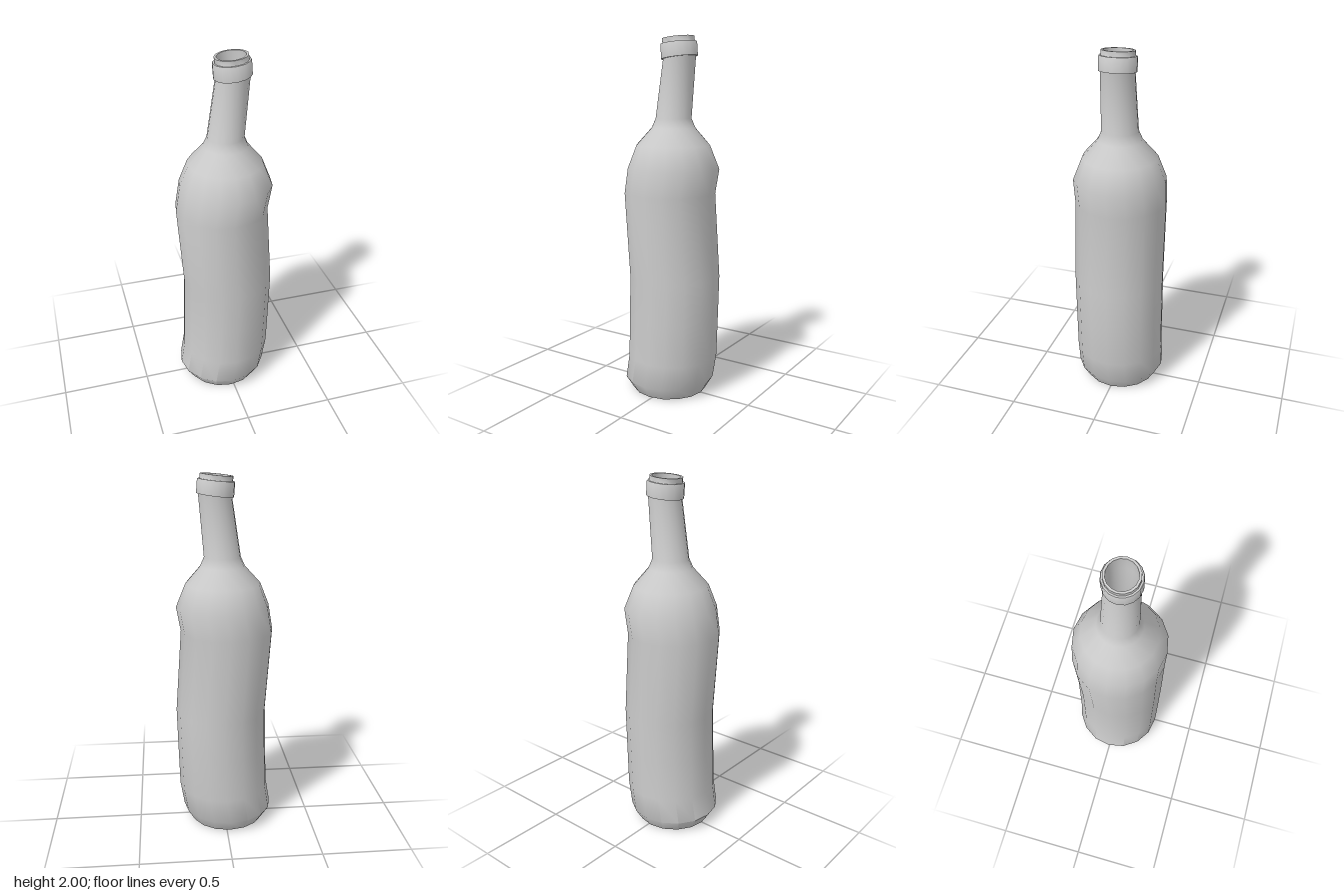
import * as THREE from 'three';
import { toCreasedNormals } from 'three/addons/utils/BufferGeometryUtils.js';

const SIDES = 16;

// Wavy centre line: height, sideways offset, slope of the cross-section
const spine = [
  [0, -0.018, 0], [0.07, -0.02, 0], [0.21, 0.003, 0], [0.45, 0.01, 0],
  [0.68, 0.016, 0], [1.15, -0.017, 0], [1.29, 0.007, -0.015], [1.415, 0.005, 0],
  [1.51, 0.007, 0], [1.56, 0.007, 0.01], [1.885, 0.045, 0.12],
  [1.963, 0.039, 0.1], [1.99, 0.036, 0.1],
];

// Lathe a profile, then shift and tilt every ring to follow the centre line
function wavyLathe(name, profile, material) {
  const geo = new THREE.LatheGeometry(profile.map(([r, y]) => new THREE.Vector2(r, y)), SIDES);
  const pos = geo.attributes.position;
  for (let i = 0; i < pos.count; i++) {
    const x = pos.getX(i), y = pos.getY(i);
    let k = 1;
    while (k < spine.length - 1 && spine[k][0] < y) k++;
    const a = spine[k - 1], b = spine[k];
    const t = (y - a[0]) / (b[0] - a[0]);
    pos.setX(i, x + THREE.MathUtils.lerp(a[1], b[1], t));
    pos.setY(i, y + x * THREE.MathUtils.lerp(a[2], b[2], t));
  }
  const mesh = new THREE.Mesh(toCreasedNormals(geo, 0.7), material);
  mesh.name = name;
  return mesh;
}

export function createModel() {
  const group = new THREE.Group();
  group.name = 'wavyBottle';
  const glass = new THREE.MeshStandardMaterial({ color: 0xcccccc });

  // Base, body, shoulder and neck: radius, height
  const body = [
    [0.213, 0], [0.256, 0.07], [0.256, 0.21], [0.256, 0.45], [0.256, 0.68],
    [0.256, 1.15], [0.256, 1.29], [0.206, 1.415], [0.122, 1.51], [0.1, 1.56], [0.09, 1.885],
  ];
  group.add(wavyLathe('body', [[0, 0], ...body], glass));

  // Raised collar and open lip
  group.add(wavyLathe('collarAndLip', [
    [0.088, 1.885], [0.1, 1.885], [0.1, 1.958], [0.097, 1.963],
    [0.088, 1.963], [0.088, 1.99], [0.076, 1.99],
  ], glass));

  // Hollow interior, running from the lip down to the floor
  const inner = body.slice(1, -1).map(([r, y]) => [r - 0.024, y]).reverse();
  group.add(wavyLathe('interior', [[0.076, 1.99], [0.076, 1.885], ...inner, [0, 0.07]], glass));

  return group;
}
